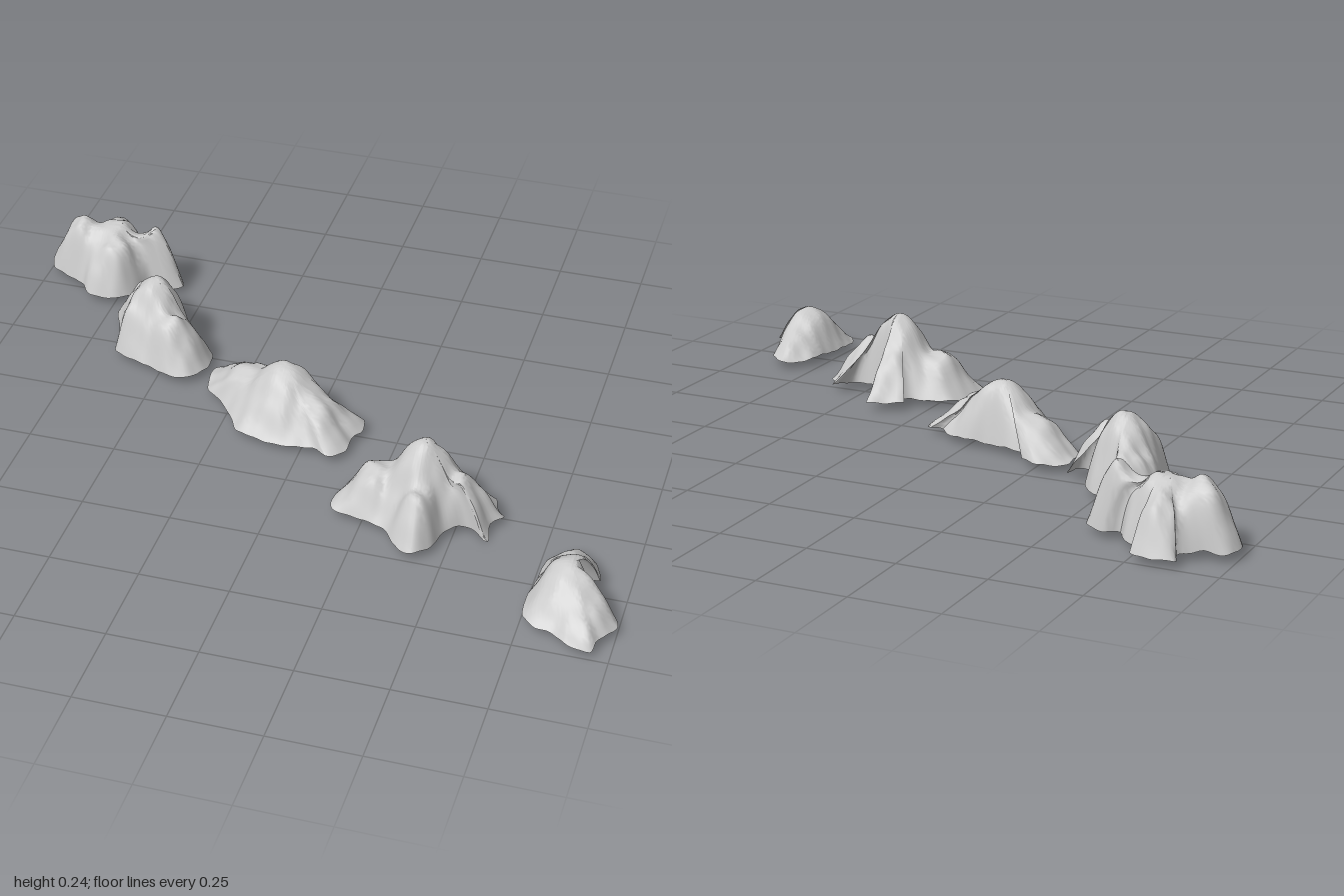
import * as THREE from 'three';
import { toCreasedNormals } from 'three/addons/utils/BufferGeometryUtils.js';

const SEGMENTS = 120, RINGS = 24, BASE = 0.022;
const material = new THREE.MeshStandardMaterial({ color: 0xcccccc, side: THREE.DoubleSide });

// Smooth repeatable roughness for weathered rock
function roughness(x, z) {
  return Math.sin(41 * x + 17 * z) * Math.sin(37 * z - 13 * x + 1.3) * 0.6
    + Math.sin(83 * x - 49 * z + 2) * Math.sin(71 * z + 29 * x) * 0.4;
}

// Soft maximum of the bell-shaped peaks, each [x, z, height, radius]
function peakHeight(peaks, x, z) {
  let sum = 0;
  for (const [px, pz, h, r] of peaks) {
    const d2 = ((x - px) ** 2 + (z - pz) ** 2) / (r * r);
    sum += (h * Math.exp(-d2)) ** 6;
  }
  return sum ** (1 / 6);
}

// Open rock shell: rings shrink from the footprint to the summit
function mountain(name, [cx, cz], footprint, peaks, steepness, rough) {
  const curve = new THREE.CatmullRomCurve3(
    footprint.map(([x, z]) => new THREE.Vector3(x, 0, z)), true, 'catmullrom', 0.4);
  const rim = curve.getSpacedPoints(SEGMENTS).slice(0, SEGMENTS);
  const positions = [], index = [];

  for (let r = 0; r <= RINGS; r++) {
    const t = r / RINGS;
    for (const p of rim) {
      const x = cx + (p.x - cx) * t, z = cz + (p.z - cz) * t;
      const n = roughness(x, z);
      const fade = 1 - t ** steepness;
      // wavy rim, with one corner of the range dipping to the ground
      const dip = 0.022 * Math.exp(-((x - 0.595) ** 2 + (z - 0.35) ** 2) / 0.0006);
      const rimY = BASE + 0.006 * n * t - dip;
      const y = rimY + (peakHeight(peaks, x, z) * (1 + rough * n * t)) * fade;
      positions.push(x, y, z);
    }
  }
  for (let r = 0; r < RINGS; r++) {
    for (let s = 0; s < SEGMENTS; s++) {
      const next = (s + 1) % SEGMENTS;
      const a = r * SEGMENTS + s, b = r * SEGMENTS + next;
      const c = a + SEGMENTS, d = b + SEGMENTS;
      if (r > 0) index.push(a, b, c);
      index.push(b, d, c);
    }
  }
  // footprints run clockwise seen from above, so flip to face outward
  for (let i = 0; i < index.length; i += 3) {
    [index[i + 1], index[i + 2]] = [index[i + 2], index[i + 1]];
  }
  const geometry = new THREE.BufferGeometry();
  geometry.setAttribute('position', new THREE.Float32BufferAttribute(positions, 3));
  geometry.setIndex(index);
  const mesh = new THREE.Mesh(toCreasedNormals(geometry, 0.7), material);
  mesh.name = name;
  return mesh;
}

export function createModel() {
  const group = new THREE.Group();
  group.name = 'mountainRange';

  // Star-shaped massif at the far end
  group.add(mountain('rearMassif', [-0.8, -0.59], [
    [-1, -0.6], [-0.98, -0.65], [-0.92, -0.66], [-0.87, -0.7], [-0.88, -0.74],
    [-0.82, -0.755], [-0.76, -0.74], [-0.76, -0.69], [-0.71, -0.66], [-0.68, -0.61],
    [-0.64, -0.62], [-0.59, -0.6], [-0.57, -0.56], [-0.61, -0.54], [-0.67, -0.55],
    [-0.7, -0.48], [-0.75, -0.44], [-0.83, -0.44], [-0.87, -0.49], [-0.93, -0.52],
    [-0.98, -0.55],
  ], [
    [-0.79, -0.59, 0.165, 0.16], [-0.91, -0.59, 0.175, 0.12],
    [-0.65, -0.58, 0.19, 0.11], [-0.81, -0.69, 0.12, 0.1], [-0.76, -0.5, 0.14, 0.1],
  ], 5, 0.16));

  // Craggy ridge beside it
  group.add(mountain('craggyRidge', [-0.56, -0.28], [
    [-0.71, -0.37], [-0.69, -0.42], [-0.66, -0.45], [-0.6, -0.48], [-0.575, -0.43],
    [-0.56, -0.39], [-0.49, -0.36], [-0.45, -0.3], [-0.46, -0.25], [-0.43, -0.2],
    [-0.39, -0.2], [-0.37, -0.24], [-0.365, -0.17], [-0.4, -0.11], [-0.46, -0.1],
    [-0.53, -0.13], [-0.6, -0.15], [-0.65, -0.18], [-0.66, -0.23], [-0.68, -0.3],
  ], [
    [-0.555, -0.28, 0.205, 0.13], [-0.62, -0.4, 0.15, 0.1],
    [-0.46, -0.18, 0.155, 0.1], [-0.6, -0.21, 0.13, 0.09],
  ], 4.5, 0.16));

  // Long, gentle hill in the middle
  group.add(mountain('gentleHill', [-0.08, -0.02], [
    [-0.345, -0.17], [-0.31, -0.2], [-0.27, -0.215], [-0.21, -0.18], [-0.2, -0.14],
    [-0.14, -0.125], [-0.07, -0.1], [0, -0.1], [0.07, -0.07], [0.1, -0.04],
    [0.14, -0.05], [0.15, 0], [0.13, 0.04], [0.13, 0.1], [0.09, 0.145],
    [0.04, 0.12], [-0.05, 0.13], [-0.13, 0.12], [-0.19, 0.1], [-0.22, 0.05],
    [-0.28, -0.03], [-0.33, -0.07],
  ], [
    [-0.08, -0.03, 0.165, 0.14], [-0.22, -0.09, 0.1, 0.14], [0.04, 0.03, 0.105, 0.12],
  ], 3.5, 0.1));

  // Tallest peak with spurs on every side
  group.add(mountain('tallPeak', [0.4, 0.29], [
    [0.155, 0.33], [0.17, 0.26], [0.2, 0.21], [0.25, 0.19], [0.31, 0.18],
    [0.33, 0.15], [0.31, 0.13], [0.36, 0.11], [0.41, 0.085], [0.415, 0.15],
    [0.42, 0.2], [0.47, 0.25], [0.54, 0.26], [0.58, 0.2], [0.595, 0.24],
    [0.62, 0.27], [0.59, 0.31], [0.595, 0.36], [0.53, 0.34], [0.48, 0.38],
    [0.46, 0.45], [0.415, 0.495], [0.36, 0.46], [0.32, 0.41], [0.25, 0.39],
    [0.17, 0.37],
  ], [
    [0.4, 0.28, 0.222, 0.115], [0.26, 0.29, 0.13, 0.11], [0.52, 0.3, 0.15, 0.09],
    [0.37, 0.18, 0.12, 0.09], [0.41, 0.41, 0.13, 0.1],
  ], 4.5, 0.15));

  // Small knoll at the near end
  group.add(mountain('smallKnoll', [0.86, 0.56], [
    [0.75, 0.58], [0.76, 0.5], [0.77, 0.42], [0.8, 0.38], [0.84, 0.35],
    [0.88, 0.38], [0.9, 0.4], [0.92, 0.46], [0.87, 0.47], [0.9, 0.52],
    [0.92, 0.57], [0.96, 0.61], [0.985, 0.59], [1, 0.63], [0.98, 0.67],
    [0.96, 0.7], [0.95, 0.745], [0.89, 0.74], [0.84, 0.7], [0.79, 0.69],
    [0.755, 0.65],
  ], [
    [0.86, 0.55, 0.123, 0.13], [0.84, 0.44, 0.075, 0.1], [0.93, 0.64, 0.075, 0.1],
  ], 3.5, 0.1));

  return group;
}
